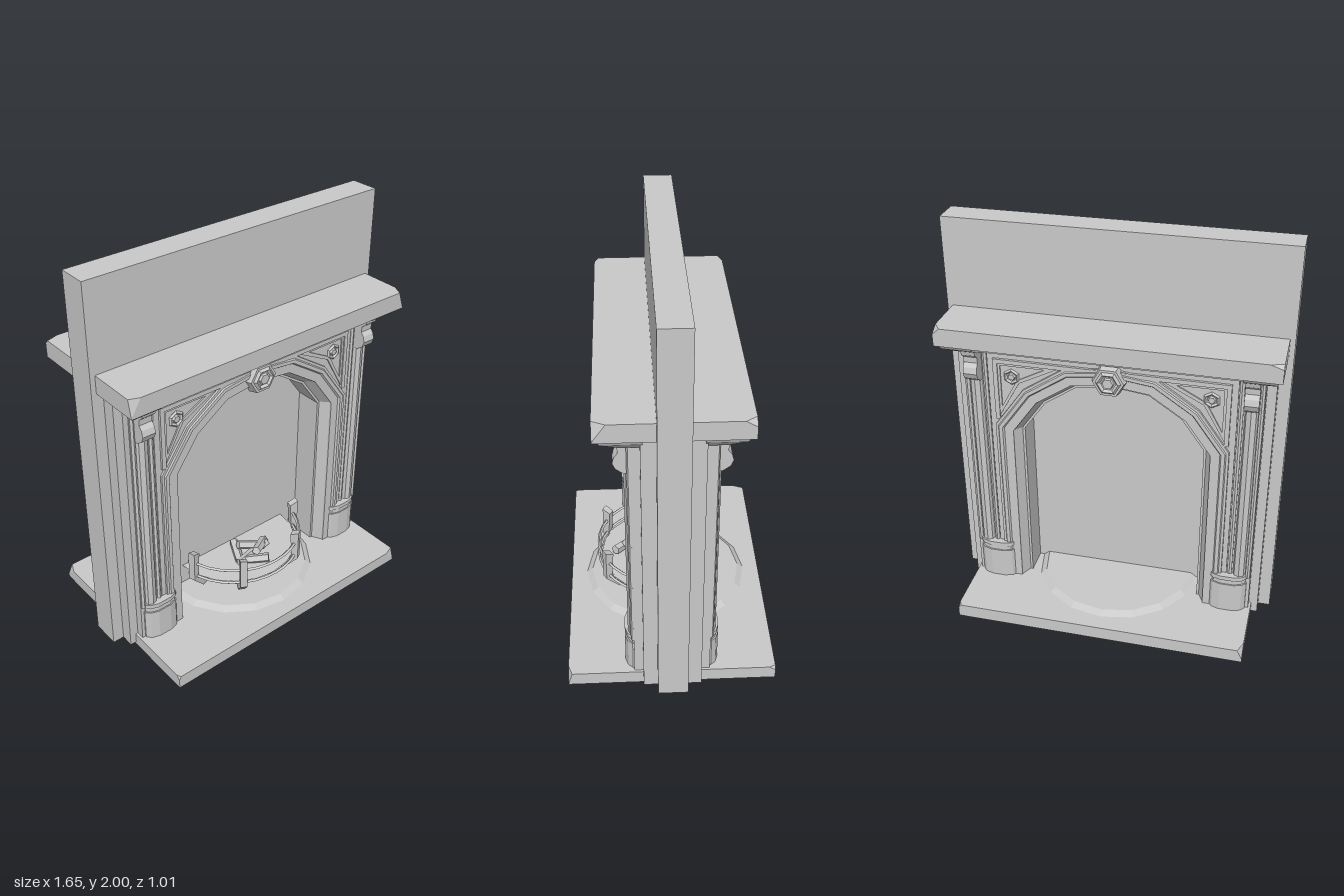
import * as THREE from 'three';
import { ConvexGeometry } from 'three/addons/geometries/ConvexGeometry.js';

const stone = new THREE.MeshStandardMaterial({ color: 0xc9c9c9, flatShading: true, side: THREE.DoubleSide });
stone.name = 'grey stone';

function add(parent, name, geo, x = 0, y = 0, z = 0) {
  const m = new THREE.Mesh(geo, stone);
  m.name = name;
  m.position.set(x, y, z);
  parent.add(m);
  return m;
}

// Slab whose upper corners are chipped off
function chippedSlab(hx, hz, y0, y1, chips) {
  const pts = [];
  let k = 0;
  for (const sx of [-1, 1]) for (const sz of [-1, 1]) {
    const [cx, cy, cz] = chips[k++];
    pts.push(new THREE.Vector3(sx * hx, y0, sz * hz),
      new THREE.Vector3(sx * (hx - cx), y1, sz * hz),
      new THREE.Vector3(sx * hx, y1 - cy, sz * hz),
      new THREE.Vector3(sx * hx, y1, sz * (hz - cz)));
  }
  return new ConvexGeometry(pts);
}

// Opening outline, from the foot at +x over the top to the foot at -x
const half = [[0.447, 0.015], [0.447, 0.963], [0.335, 1.12], [0.175, 1.228]];
const arch = [...half, [0, 1.25], ...half.map(([x, y]) => [-x, y]).reverse()];

// Mitred outward offset of the opening
function offsetArch(o) {
  const normal = (a, b) => {
    const dx = b[0] - a[0], dy = b[1] - a[1], l = Math.hypot(dx, dy);
    return [dy / l, -dx / l];
  };
  return arch.map((p, i) => {
    const last = arch.length - 1;
    const n1 = normal(arch[Math.max(i - 1, 0)], arch[Math.max(i, 1)]);
    const n2 = normal(arch[Math.min(i, last - 1)], arch[Math.min(i + 1, last)]);
    const s = o / (1 + n1[0] * n2[0] + n1[1] * n2[1]);
    return [p[0] + (n1[0] + n2[0]) * s, p[1] + (n1[1] + n2[1]) * s];
  });
}

// Sweep of an [offset, z] profile around the opening
function archMoulding(profile) {
  const rows = profile.map(([o, z]) => offsetArch(o).map(([x, y]) => [x, y, z]));
  const pos = [];
  for (let j = 0; j < rows.length - 1; j++) for (let i = 0; i < arch.length - 1; i++) {
    const a = rows[j][i], b = rows[j][i + 1], c = rows[j + 1][i + 1], d = rows[j + 1][i];
    pos.push(...a, ...d, ...c, ...a, ...c, ...b);
  }
  const g = new THREE.BufferGeometry();
  g.setAttribute('position', new THREE.Float32BufferAttribute(pos, 3));
  g.computeVertexNormals();
  return g;
}

const shapeOf = pts => new THREE.Shape(pts.map(([x, y]) => new THREE.Vector2(x, y)));
const extrude = (pts, depth) => new THREE.ExtrudeGeometry(shapeOf(pts), { depth, bevelEnabled: false });

// Facing layer with the opening cut out of it
function facing(hx, top, z0, z1, cut) {
  const g = extrude([[-hx, 0.015], [-hx, top], [hx, top], [hx, 0.015], ...offsetArch(cut)], z1 - z0);
  return g.translate(0, 0, z0);
}

// Six-sided disc facing +z
const hexDisc = (r0, r1, h) => new THREE.CylinderGeometry(r1, r0, h, 6).rotateY(Math.PI / 6).rotateX(Math.PI / 2);

// Bevelled plinth block, wide enough to cover the foot of the arch moulding
function plinthBlock(inset, y0, y1) {
  const i = inset;
  const plan = [[0.515 + i, 0.1], [0.515 + i, 0.19], [0.535 + i, 0.213 - i], [0.575, 0.226 - i],
    [0.645, 0.226 - i], [0.685 - i, 0.213 - i], [0.705 - i, 0.19], [0.705 - i, 0.1]];
  return extrude(plan.map(([x, z]) => [x, -z]), y1 - y0).rotateX(-Math.PI / 2).translate(0, y0, 0);
}

// Bracket cap that flares outwards under the mantel
function bracketCap() {
  const pts = [];
  for (const [xo, zo, y] of [[0.73, 0.225, 1.4], [0.74, 0.25, 1.412], [0.775, 0.305, 1.445], [0.788, 0.325, 1.476]]) {
    for (const x of [0.625, xo]) for (const z of [0.13, zo]) pts.push(new THREE.Vector3(x, y, z));
  }
  return new ConvexGeometry(pts);
}

function createSide(name) {
  const side = new THREE.Group();
  side.name = name;

  // Stepped facing and arch moulding, with a reveal running back to the panel
  add(side, 'outerFacing', facing(0.767, 1.475, 0.05, 0.14, 0.01));
  add(side, 'mainFacing', facing(0.722, 1.475, 0.1, 0.183, 0.06));
  add(side, 'centrePanel', facing(0.6, 1.4, 0.15, 0.192, 0.08));
  add(side, 'archMoulding', archMoulding([[0, 0], [0, 0.14], [0.012, 0.14], [0.04, 0.19], [0.04, 0.2],
    [0.085, 0.2], [0.092, 0.21], [0.11, 0.21], [0.115, 0.203], [0.128, 0.203], [0.13, 0.17]]));

  // Frieze and frame around the corner panels
  add(side, 'panelTopRail', new THREE.BoxGeometry(1.14, 0.022, 0.02), 0, 1.356, 0.195);
  add(side, 'frieze', new THREE.BoxGeometry(1.46, 0.05, 0.1), 0, 1.425, 0.165);
  add(side, 'friezeTop', new THREE.BoxGeometry(1.46, 0.026, 0.125), 0, 1.463, 0.17);

  // Keystone rosette
  add(side, 'keystone', hexDisc(0.088, 0.075, 0.05), 0, 1.32, 0.205);
  add(side, 'keystoneRing', new THREE.TorusGeometry(0.05, 0.012, 4, 6), 0, 1.32, 0.23);
  add(side, 'keystoneBoss', hexDisc(0.032, 0.026, 0.015), 0, 1.32, 0.234);

  for (const s of [-1, 1]) {
    const wing = new THREE.Group();
    wing.name = s > 0 ? 'leftWing' : 'rightWing';
    side.add(wing);

    // Corner panel trim and rosette
    add(wing, 'panelStile', new THREE.BoxGeometry(0.022, 0.32, 0.02), s * 0.559, 1.2, 0.195);
    const trim = shapeOf([[0.548, 1.345], [0.548, 1.06], [0.445, 1.245], [0.25, 1.345]].map(([x, y]) => [s * x, y]));
    trim.holes.push(shapeOf([[0.536, 1.333], [0.315, 1.333], [0.456, 1.258], [0.536, 1.11]].map(([x, y]) => [s * x, y])));
    add(wing, 'cornerTrim', new THREE.ExtrudeGeometry(trim, { depth: 0.008, bevelEnabled: false }), 0, 0, 0.191);
    const ring = add(wing, 'cornerRosette', new THREE.TorusGeometry(0.034, 0.009, 4, 6), s * 0.48, 1.277, 0.196);
    ring.rotation.z = Math.PI / 6;
    add(wing, 'cornerRosetteBoss', hexDisc(0.021, 0.016, 0.015), s * 0.48, 1.277, 0.197);

    // Column and slim shafts
    add(wing, 'columnShaft', new THREE.CylinderGeometry(0.033, 0.033, 0.99, 8), s * 0.664, 0.765, 0.178);
    for (const x of [0.615, 0.708]) {
      add(wing, 'slimShaft', new THREE.CylinderGeometry(0.013, 0.013, 1.14, 6), s * x, 0.84, 0.185);
    }

    // Plinth and bracket cap
    for (const [inset, y0, y1] of [[0, 0.07, 0.235], [0.006, 0.235, 0.262], [0, 0.262, 0.285]]) {
      const g = plinthBlock(inset, y0, y1);
      add(wing, 'plinth', s > 0 ? g : g.translate(-1.22, 0, 0));
    }
    add(wing, 'bracketCap', bracketCap()).scale.x = s;

    // Scrolled bracket under the mantel
    const scroll = extrude([[0.15, 1.25], [0.21, 1.245], [0.245, 1.27], [0.258, 1.3], [0.25, 1.33], [0.234, 1.35],
      [0.236, 1.38], [0.26, 1.4], [0.27, 1.44], [0.27, 1.47], [0.15, 1.47]], 0.068);
    scroll.rotateY(-Math.PI / 2).translate(0.034, 0, 0);
    add(wing, 'bracket', scroll, s * 0.666);
  }
  return side;
}

function createGrate() {
  const grate = new THREE.Group();
  grate.name = 'grate';
  const at = (a, y) => new THREE.Vector3(Math.cos(a) * 0.352, y, Math.sin(a) * 0.352);

  // Curved bars and basket floor
  for (const y of [0.21, 0.29]) {
    const pts = Array.from({ length: 9 }, (_, i) => at(0.2 + (Math.PI - 0.4) * i / 8, y));
    add(grate, 'bar', new THREE.TubeGeometry(new THREE.CatmullRomCurve3(pts), 16, 0.009, 4));
  }
  const floor = new THREE.CylinderGeometry(0.34, 0.32, 0.018, 10, 1, false, -Math.PI / 2, Math.PI);
  add(grate, 'basketFloor', floor, 0, 0.198, 0);

  // Uprights with inward-bent feet
  const post = extrude([[0.022, 0.195], [0.022, 0.365], [-0.022, 0.345], [-0.012, 0.21], [-0.05, 0.2],
    [-0.09, 0.165], [-0.09, 0.115], [-0.05, 0.115]], 0.036).translate(0, 0, -0.018);
  for (const a of [0.3, 1.047, Math.PI - 1.047, Math.PI - 0.3]) {
    const p = at(a, 0);
    add(grate, 'upright', post, p.x, p.y, p.z).rotation.y = -a;
  }

  // Logs: [x, y, z, length, turn, tilt]
  for (const [x, y, z, l, turn, tilt] of [[0, 0.225, 0.17, 0.22, 0.2, 0], [-0.03, 0.23, 0.22, 0.15, -0.7, 0.15],
    [0.05, 0.245, 0.17, 0.16, 0.6, -0.3], [0.01, 0.25, 0.14, 0.15, -0.3, -0.3], [-0.06, 0.225, 0.11, 0.14, 1.1, 0.1]]) {
    const log = add(grate, 'log', new THREE.CylinderGeometry(0.023, 0.026, l, 5).rotateZ(Math.PI / 2), x, y, z);
    log.rotation.set(0, turn, tilt);
  }
  return grate;
}

export function createModel() {
  const model = new THREE.Group();
  model.name = 'fireplace';

  // Wall pierced by the opening, closed by a thin panel in the middle
  add(model, 'wall', facing(0.825, 2, -0.0725, 0.0725, 0.005));
  add(model, 'openingPanel', new THREE.BoxGeometry(0.92, 1.2, 0.008), 0, 0.66, 0);

  // Base slab, raised round hearth and mantel shelf
  add(model, 'hearthSlab', chippedSlab(0.735, 0.507, 0, 0.07,
    [[0.025, 0.05, 0.06], [0.01, 0.02, 0.02], [0.015, 0.02, 0.03], [0.055, 0.065, 0.02]]));
  add(model, 'raisedHearth', new THREE.CylinderGeometry(0.395, 0.425, 0.022, 16), 0, 0.081, 0);
  add(model, 'mantelShelf', chippedSlab(0.8, 0.337, 1.472, 1.562,
    [[0.06, 0.02, 0.02], [0.05, 0.085, 0.02], [0.035, 0.03, 0.05], [0.03, 0.085, 0.06]]));

  // Matching faces; only the front one holds a grate
  const front = createSide('frontFace'), back = createSide('backFace');
  back.rotation.y = Math.PI;
  front.add(createGrate());
  model.add(front, back);
  return model;
}
